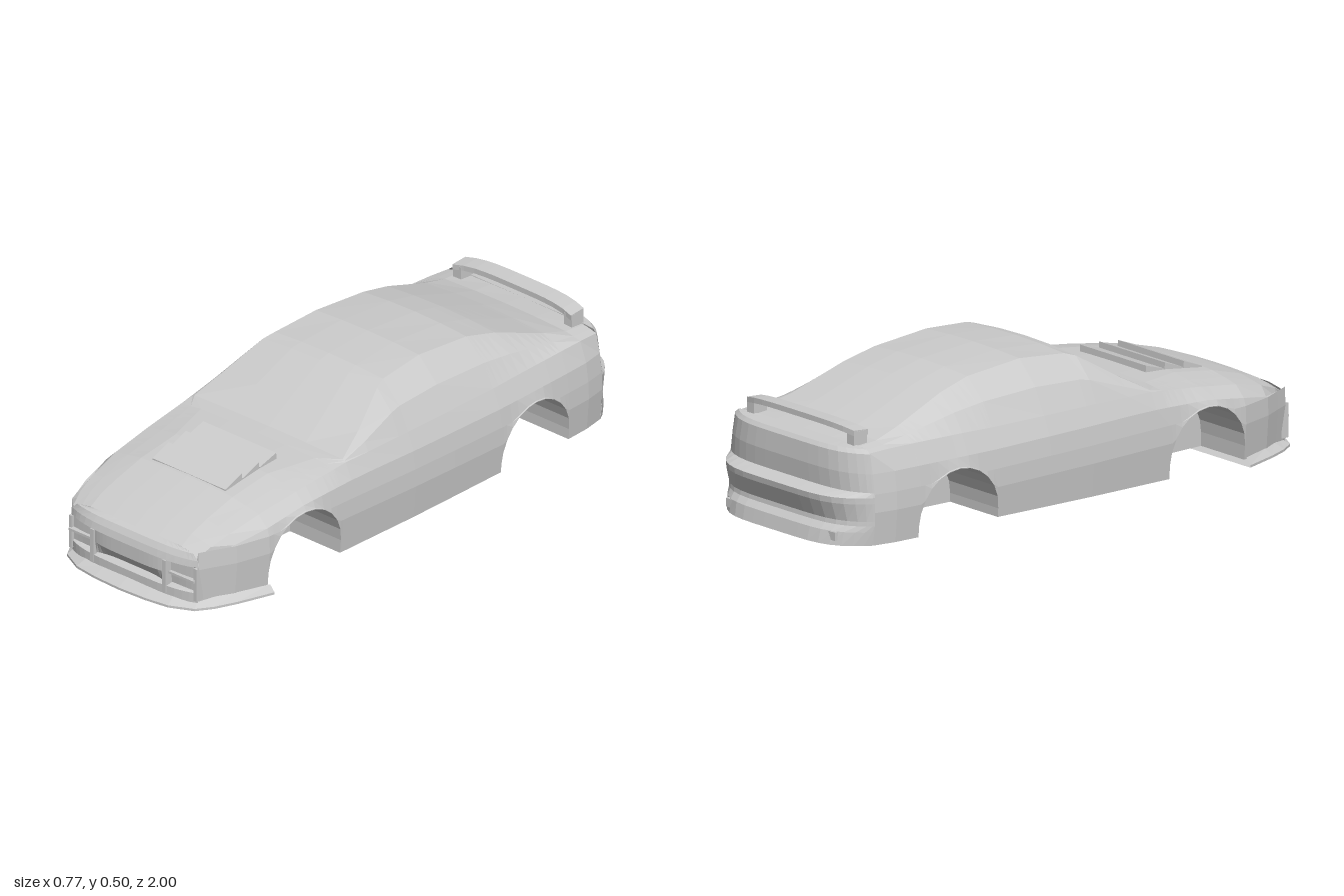
import * as THREE from 'three';

const material = new THREE.MeshStandardMaterial({ color: 0xcccccc, flatShading: true, side: THREE.DoubleSide });

// Body stations: z, half width, shoulder y, belt x, belt y, roof edge x, roof edge y, centre top y
const STATIONS = [
  [0.92, 0.28, 0.16, 0.272, 0.178, 0.2, 0.194, 0.2],
  [0.87, 0.302, 0.18, 0.286, 0.207, 0.2, 0.224, 0.23],
  [0.8, 0.335, 0.2, 0.3, 0.232, 0.2, 0.25, 0.256],
  [0.68, 0.365, 0.225, 0.315, 0.262, 0.2, 0.284, 0.29],
  [0.52, 0.372, 0.25, 0.325, 0.287, 0.2, 0.308, 0.312],
  [0.35, 0.375, 0.258, 0.335, 0.308, 0.25, 0.318, 0.322],
  [0.3, 0.376, 0.26, 0.338, 0.315, 0.325, 0.322, 0.326],
  [0.2, 0.379, 0.262, 0.343, 0.318, 0.298, 0.375, 0.39],
  [0.06, 0.383, 0.262, 0.346, 0.322, 0.25, 0.462, 0.475],
  [0.02, 0.384, 0.262, 0.347, 0.323, 0.237, 0.475, 0.484],
  [-0.16, 0.385, 0.262, 0.347, 0.325, 0.226, 0.49, 0.497],
  [-0.38, 0.385, 0.262, 0.345, 0.328, 0.226, 0.473, 0.483],
  [-0.5, 0.383, 0.264, 0.342, 0.332, 0.235, 0.445, 0.456],
  [-0.7, 0.375, 0.266, 0.335, 0.335, 0.255, 0.375, 0.386],
  [-0.8, 0.368, 0.266, 0.33, 0.335, 0.265, 0.348, 0.355],
  [-0.88, 0.352, 0.266, 0.325, 0.332, 0.27, 0.343, 0.347],
];
const ARCHES = [0.517, -0.545];
const ARCH_R = 0.163, ARCH_Y = 0.067, WELL_X = 0.145;

function stationAt(z) {
  let i = 0;
  while (i < STATIONS.length - 2 && z < STATIONS[i + 1][0]) i++;
  const a = STATIONS[i], b = STATIONS[i + 1];
  const t = (a[0] - z) / (a[0] - b[0]);
  return a.map((v, k) => v + (b[k] - v) * t);
}

function floorY(z) {
  if (z < -0.7) return 0.03;
  return THREE.MathUtils.mapLinear(Math.min(z, 0.35), 0.35, -0.7, 0.02, 0.045);
}

// Surface through equal-length rows of [x, y, z] points
function surface(name, rows) {
  const n = rows[0].length, index = [];
  for (let i = 0; i < rows.length - 1; i++) {
    for (let j = 0; j < n - 1; j++) {
      const a = i * n + j, d = a + n;
      index.push(a, d, a + 1, d, d + 1, a + 1);
    }
  }
  const g = new THREE.BufferGeometry();
  g.setAttribute('position', new THREE.Float32BufferAttribute(rows.flat(2), 3));
  g.setIndex(index);
  g.computeVertexNormals();
  return mesh(name, g);
}

function mesh(name, geometry, x = 0, y = 0, z = 0) {
  const m = new THREE.Mesh(geometry, material);
  m.name = name;
  m.position.set(x, y, z);
  return m;
}

// Full cross-section, from the floor centre round to the floor centre
function section([z, archY]) {
  const [, w, ySh, xB, yB, xE, yE, yT] = stationAt(z);
  const yb = floorY(z), low = archY ?? yb;
  const sideX = (y) => w - 0.012 * Math.max(0, 1 - y / 0.14);
  const bulge = 0.018 * Math.max(0, (yE - yB) / 0.16);
  const half = [
    [0, yb], [WELL_X, yb], [WELL_X, low], [sideX(low), low],
    [w, Math.max(0.14, low + 0.002)],
    [w - 0.003, Math.max(0.2, low + 0.004)],
    [w - 0.012, Math.max(ySh, low + 0.008)],
    [xB, yB],
    [(xB + xE) / 2 + bulge, (yB + yE) / 2 + bulge * 0.2],
    [xE, yE], [xE * 0.5, yE + (yT - yE) * 0.75], [0, yT],
  ].map(([x, y]) => [x, y, z]);
  return [...half, ...half.slice(0, -1).reverse().map(([x, y, zz]) => [-x, y, zz])];
}

// Main shell with wheel arches and wells
function bodyShell() {
  const list = STATIONS.map((s) => [s[0]])
    .filter(([z]) => ARCHES.every((c) => Math.abs(z - c) > ARCH_R + 1e-6));
  for (const c of ARCHES) {
    list.push([c + ARCH_R]);
    for (let k = 0; k <= 12; k++) {
      const a = (k / 12) * Math.PI;
      list.push([c + ARCH_R * Math.cos(a), ARCH_Y + ARCH_R * Math.sin(a)]);
    }
    list.push([c - ARCH_R]);
  }
  list.sort((a, b) => b[0] - a[0]);
  return surface('bodyShell', list.map(section));
}

// Curved end panel; rows run top to bottom as [y, half width, z at centre]
function fascia(name, rows, z0, dir, power) {
  const n = 20;
  return surface(name, rows.map(([y, w, zc]) => {
    const row = [];
    for (let k = 0; k <= n; k++) {
      const u = Math.sin((k / n - 0.5) * Math.PI);
      row.push([dir * w * u, y, z0 + (zc - z0) * (1 - Math.abs(u) ** power)]);
    }
    return row;
  }));
}

// Front lip, wider at its lower edge
function splitter() {
  const half = [[0, 0.998], [0.11, 0.993], [0.2, 0.98], [0.28, 0.94], [0.315, 0.885], [0.345, 0.81], [0.385, 0.68]];
  const plan = [...half.slice(1).reverse().map(([x, z]) => [-x, z]), ...half];
  return surface('frontSplitter', [
    plan.map(([x, z]) => [x * 0.95, 0.03, z - 0.045 * (z - 0.68) / 0.318]),
    plan.map(([x, z]) => [x, 0.008, z]),
    plan.map(([x, z]) => [x, 0, z]),
    plan.map(([x]) => [x, 0, 0.68]),
  ]);
}

// Hood slats, each rising towards the rear
function hoodLouvers() {
  const group = new THREE.Group();
  group.name = 'hoodLouvers';
  for (const z of [0.67, 0.59, 0.51]) {
    const back = z - 0.076;
    const y0 = stationAt(z)[7], y1 = stationAt(back)[7];
    const s = new THREE.Shape([[z, y0 - 0.01], [z, y0 + 0.001], [back, y1 + 0.02], [back - 0.002, y1 - 0.01]]
      .map((p) => new THREE.Vector2(...p)));
    const g = new THREE.ExtrudeGeometry(s, { depth: 0.32, bevelEnabled: false });
    g.rotateY(-Math.PI / 2);
    group.add(mesh('louver', g, 0.16));
  }
  return group;
}

// Rear wing, crowned in the middle, on two legs
function rearWing() {
  const group = new THREE.Group();
  group.name = 'rearWing';
  const g = new THREE.BoxGeometry(0.52, 0.018, 0.06, 12, 1, 1);
  const p = g.attributes.position;
  for (let i = 0; i < p.count; i++) {
    const u = p.getX(i) / 0.26;
    p.setY(i, p.getY(i) - 0.014 * u ** 4 - p.getZ(i) * 0.08);
    p.setZ(i, p.getZ(i) + 0.015 * u ** 4);
  }
  group.add(mesh('wingBlade', g, 0, 0.398, -0.875));
  for (const s of [-1, 1]) {
    group.add(mesh('wingLeg', new THREE.BoxGeometry(0.035, 0.055, 0.055), s * 0.243, 0.362, -0.862));
  }
  return group;
}

export function createModel() {
  const car = new THREE.Group();
  car.name = 'carBody';
  car.add(bodyShell(), splitter(), hoodLouvers(), rearWing());

  // Nose with a recessed grille band
  car.add(fascia('frontBumper', [
    [0.2, 0.2, 0.92], [0.19, 0.255, 0.938], [0.17, 0.275, 0.95], [0.147, 0.28, 0.957], [0.143, 0.28, 0.93],
    [0.1, 0.28, 0.93], [0.06, 0.28, 0.925], [0.055, 0.28, 0.955], [0.02, 0.275, 0.955], [0.02, 0, 0.92],
  ], 0.92, 1, 4));
  car.add(fascia('bumperBeam', [
    [0.146, 0.157, 0.957], [0.1, 0.157, 0.957], [0.062, 0.157, 0.927],
  ], 0.945, 1, 4));
  for (const s of [-1, 1]) {
    car.add(mesh('grilleFin', new THREE.BoxGeometry(0.016, 0.115, 0.04), s * 0.158, 0.088, 0.935));
    car.add(mesh('outerFin', new THREE.BoxGeometry(0.012, 0.115, 0.03), s * 0.274, 0.088, 0.917));
    car.add(mesh('openingSill', new THREE.BoxGeometry(0.115, 0.008, 0.03), s * 0.217, 0.1, 0.925));
    // Exhaust outlets
    car.add(mesh('exhaustOutlet', new THREE.BoxGeometry(0.07, 0.028, 0.04), s * 0.23, 0.06, -0.955));
  }

  // Tail panel, bumper ledge and lower lip
  car.add(fascia('rearBumper', [
    [0.347, 0.27, -0.88], [0.343, 0.31, -0.935], [0.33, 0.328, -0.945], [0.266, 0.34, -0.95],
    [0.205, 0.349, -0.945], [0.19, 0.352, -0.998], [0.17, 0.352, -0.995], [0.11, 0.35, -0.97],
    [0.095, 0.35, -0.972], [0.075, 0.348, -0.99], [0.03, 0.343, -1], [0.03, 0, -0.88],
  ], -0.88, -1, 5));
  return car;
}
